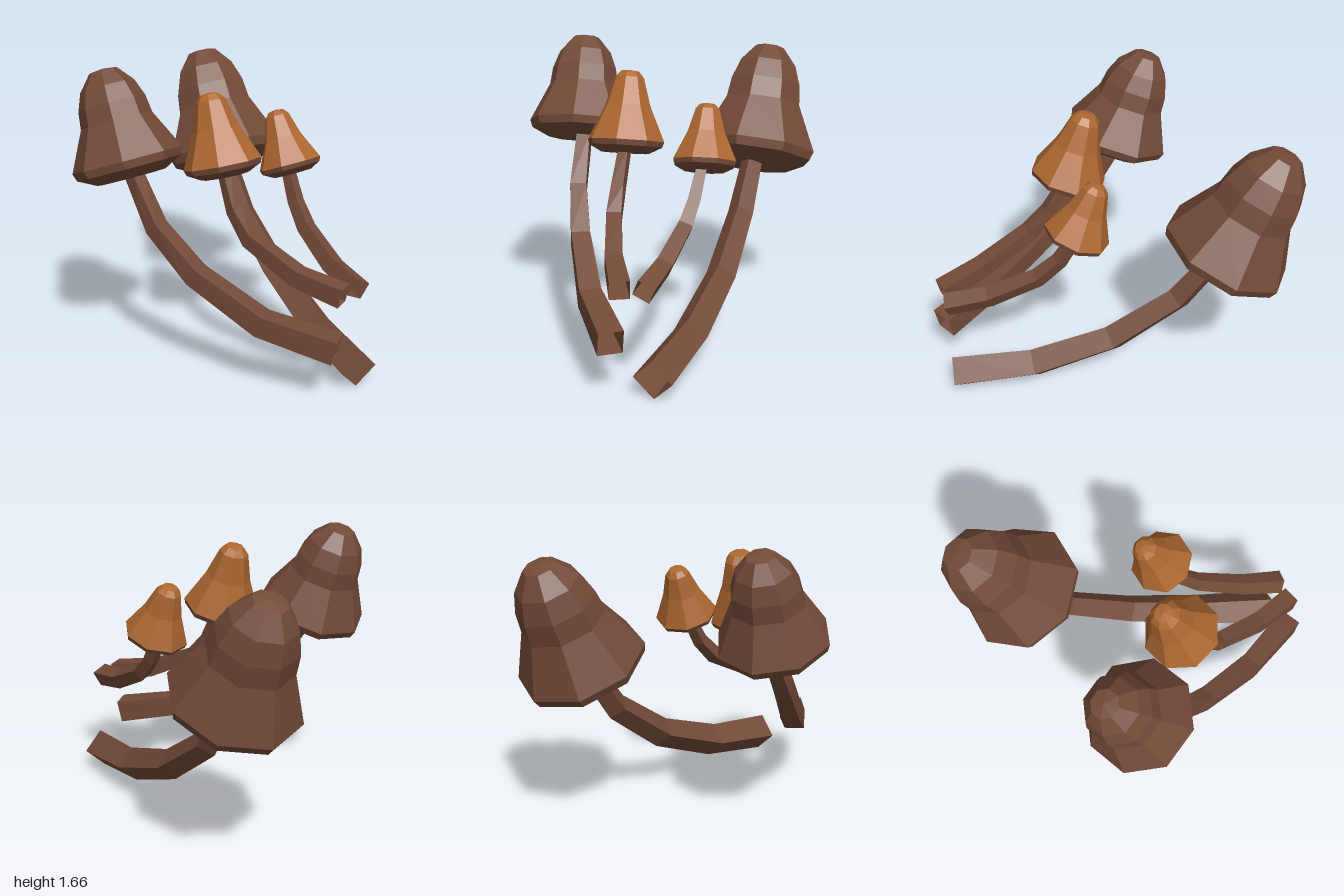
import * as THREE from 'three';

const brown = new THREE.MeshStandardMaterial({ color: 0x734a38, flatShading: true, side: THREE.DoubleSide });
brown.name = 'brown';
const orange = new THREE.MeshStandardMaterial({ color: 0xad6730, flatShading: true, side: THREE.DoubleSide });
orange.name = 'orange';

// Cap profiles as [radius, height] fractions, measured from the rim
const bellProfile = [[1, 0], [0.65, 0.43], [0.61, 0.62], [0.49, 0.81], [0.25, 0.98], [0, 1]];
const coneProfile = [[1, 0], [0.59, 0.5], [0.38, 0.9], [0.24, 0.99], [0, 1.01]];
const gillProfile = [[0, -0.2], [0.62, -0.31], [0.95, -0.14], [1, 0]]; // in units of the rim radius

const UP = new THREE.Vector3(0, 1, 0);

function lathe(profile, radius, height, phase) {
  const pts = profile.map(([r, h]) => new THREE.Vector2(r * radius, h * height));
  return new THREE.LatheGeometry(pts, 8, phase);
}

// Eight-sided cap tilted from its rim centre towards its tip
function makeCap({ rim, tip, radius, phase, profile, material }) {
  const base = new THREE.Vector3(...rim);
  const axis = new THREE.Vector3(...tip).sub(base);
  const height = axis.length();
  const cap = new THREE.Group();
  cap.name = 'cap';
  const top = new THREE.Mesh(lathe(profile, radius, height, phase), material);
  top.name = 'capTop';
  const under = new THREE.Mesh(lathe(gillProfile, radius, radius, phase), brown);
  under.name = 'capUnderside';
  cap.add(top, under);
  cap.position.copy(base);
  cap.quaternion.setFromUnitVectors(UP, axis.normalize());
  return cap;
}

// Open four-sided stem lofted along a path, widening towards its foot
function makeStem({ path, r0, r1, twist }) {
  const pts = path.map((p) => new THREE.Vector3(...p));
  const last = pts.length - 1;
  const position = [];
  const index = [];
  pts.forEach((p, i) => {
    const t = pts[Math.min(i + 1, last)].clone().sub(pts[Math.max(i - 1, 0)]).normalize();
    const n = new THREE.Vector3().crossVectors(UP, t).normalize();
    const b = new THREE.Vector3().crossVectors(t, n);
    const r = r0 + (r1 - r0) * (i / last);
    for (let k = 0; k < 4; k++) {
      const a = twist + (k * Math.PI) / 2;
      const v = p.clone().addScaledVector(n, r * Math.cos(a)).addScaledVector(b, r * Math.sin(a));
      position.push(v.x, v.y, v.z);
      if (i < last) {
        const p0 = i * 4 + k;
        const p1 = i * 4 + ((k + 1) % 4);
        index.push(p0, p1, p1 + 4, p0, p1 + 4, p0 + 4);
      }
    }
  });
  const geometry = new THREE.BufferGeometry();
  geometry.setAttribute('position', new THREE.Float32BufferAttribute(position, 3));
  geometry.setIndex(index);
  geometry.computeVertexNormals();
  const stem = new THREE.Mesh(geometry, brown);
  stem.name = 'stem';
  return stem;
}

const mushrooms = [
  {
    name: 'largeBackMushroom', profile: bellProfile, material: brown,
    rim: [-0.59, 0.97, -0.45], tip: [-0.86, 1.55, -0.47], radius: 0.365, phase: -0.14,
    path: [[-0.53, 0.89, -0.44], [-0.345, 0.63, -0.42], [0.02, 0.36, -0.39], [0.46, 0.18, -0.33], [0.915, 0.105, -0.25]],
    r0: 0.065, r1: 0.112, twist: 0,
  },
  {
    name: 'largeFrontMushroom', profile: bellProfile, material: brown,
    rim: [-0.17, 1.16, 0.515], tip: [-0.35, 1.64, 0.545], radius: 0.31, phase: 0.2,
    path: [[-0.14, 1.08, 0.49], [0.035, 0.82, 0.465], [0.27, 0.595, 0.37], [0.62, 0.39, 0.19], [0.96, 0.305, -0.045]],
    r0: 0.055, r1: 0.095, twist: Math.PI / 4,
  },
  {
    name: 'smallFrontMushroom', profile: coneProfile, material: orange,
    rim: [0.18, 1.155, 0.125], tip: [0.07, 1.525, 0.135], radius: 0.217, phase: 0.08,
    path: [[0.2, 1.11, 0.125], [0.3, 0.92, 0.13], [0.42, 0.79, 0.115], [0.71, 0.645, 0.02], [0.945, 0.59, -0.09]],
    r0: 0.04, r1: 0.075, twist: Math.PI / 4,
  },
  {
    name: 'smallBackMushroom', profile: coneProfile, material: orange,
    rim: [0.205, 1.08, -0.33], tip: [0.09, 1.37, -0.315], radius: 0.182, phase: -0.14,
    path: [[0.215, 1.04, -0.315], [0.3, 0.89, -0.3], [0.42, 0.77, -0.28], [0.69, 0.64, -0.24], [0.93, 0.59, -0.21]],
    r0: 0.04, r1: 0.068, twist: 0.35,
  },
];

export function createModel() {
  const model = new THREE.Group();
  model.name = 'mushroomCluster';
  for (const spec of mushrooms) {
    const mushroom = new THREE.Group();
    mushroom.name = spec.name;
    mushroom.add(makeCap(spec), makeStem(spec));
    model.add(mushroom);
  }
  return model;
}
